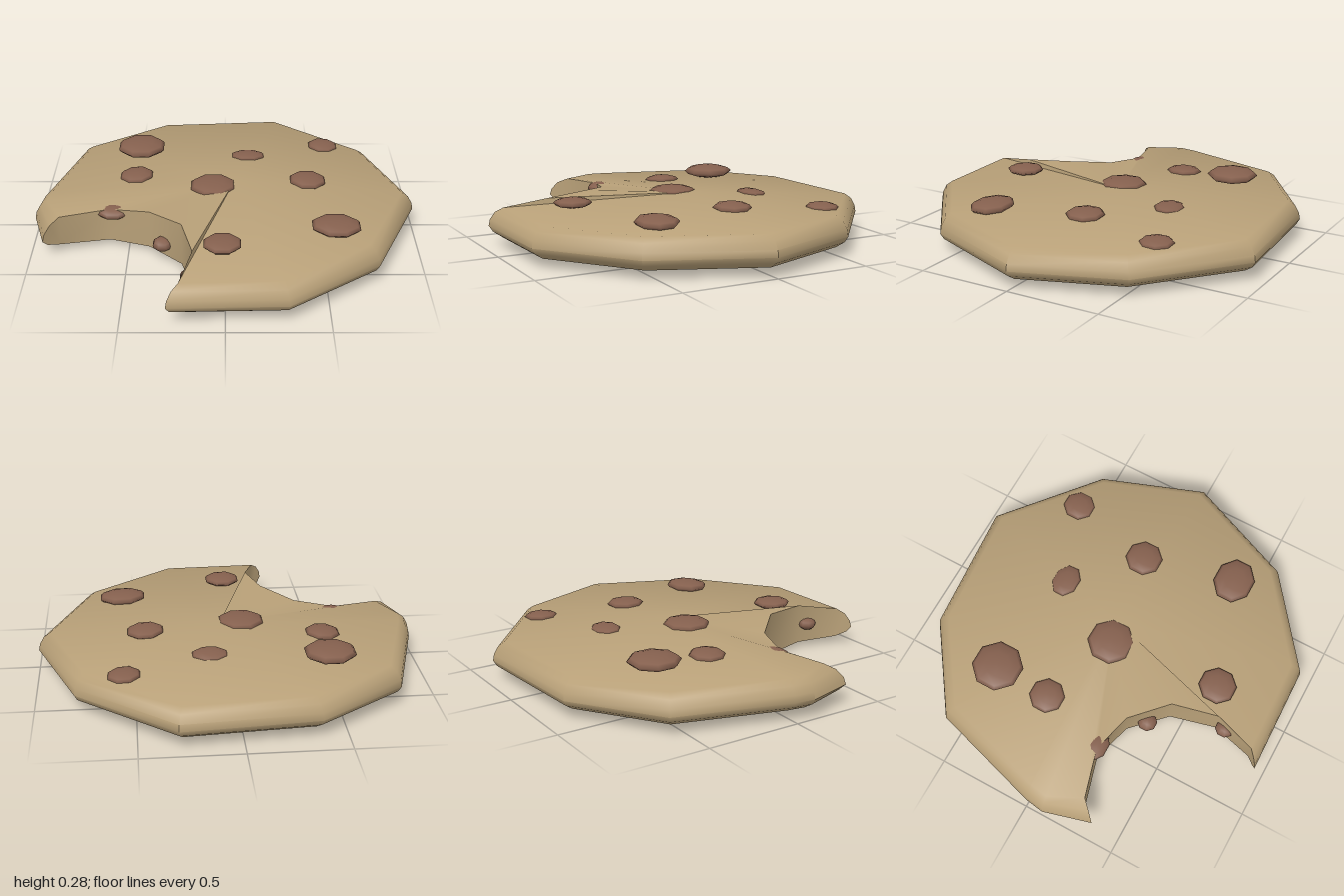
import * as THREE from 'three';
import { toCreasedNormals } from 'three/addons/utils/BufferGeometryUtils.js';

// Outer rim (x, z), from one bite corner round to the other
const RIM = [[-0.28, 0.95], [0.3, 0.935], [0.76, 0.58], [1, 0], [0.8, -0.54], [0.31, -0.95],
  [-0.37, -0.9], [-0.81, -0.59], [-0.985, 0], [-1, 0.1], [-0.93, 0.35]];
// Bite edge (x, z, top height, bottom height)
const BITE = [[-0.85, 0.27, 0.2, 0.04], [-0.6, 0.2, 0.207, 0.028], [-0.39, 0.26, 0.225, 0.02],
  [-0.22, 0.43, 0.25, 0.02], [-0.16, 0.67, 0.24, 0.028], [-0.22, 0.89, 0.2, 0.04]];
// Rounded rim section: inset fraction, height
const PROFILE = [[1, 0.04], [0.28, 0.07], [0, 0.1], [0.1, 0.135], [0.45, 0.175], [1, 0.2]];

function cookieGeometry() {
  const positions = [];
  const tri = (...corners) => corners.forEach((p) => positions.push(...p));
  const quad = (a, b, c, d) => { tri(a, b, c); tri(a, c, d); };
  const last = PROFILE.length - 1;

  // Rim sections; the two bite corners slide along the bite instead of inward
  const sections = RIM.map(([x, z], i) => {
    let inner = [x * 0.935, z * 0.935];
    if (i === 0) inner = BITE[BITE.length - 1];
    if (i === RIM.length - 1) inner = BITE[0];
    return PROFILE.map(([t, y]) => [x + (inner[0] - x) * t, y, z + (inner[1] - z) * t]);
  });
  for (let i = 0; i < sections.length - 1; i++) {
    const a = sections[i], b = sections[i + 1];
    for (let j = 0; j < last; j++) quad(a[j], b[j], b[j + 1], a[j + 1]);
  }

  // Caps where the bite cuts through the rim
  const first = sections[0], end = sections[sections.length - 1];
  for (let j = 1; j < last; j++) {
    tri(first[0], first[j], first[j + 1]);
    tri(end[0], end[j + 1], end[j]);
  }

  // Bite wall
  const biteTop = BITE.map(([x, z, y]) => [x, y, z]);
  const biteLow = BITE.map(([x, z, , y]) => [x, y, z]);
  for (let i = 0; i < BITE.length - 1; i++) {
    quad(biteLow[i], biteLow[i + 1], biteTop[i + 1], biteTop[i]);
  }

  // Gently domed top and bottom
  const top = [...sections.map((s) => s[last]), ...biteTop.slice(1, -1)];
  const low = [...sections.map((s) => s[0]), ...biteLow.slice(1, -1)];
  top.forEach((p, i) => {
    const n = (i + 1) % top.length;
    tri([0.05, 0.243, -0.05], p, top[n]);
    tri([0.05, 0, -0.05], low[n], low[i]);
  });

  const geometry = new THREE.BufferGeometry();
  geometry.setAttribute('position', new THREE.Float32BufferAttribute(positions, 3));
  return toCreasedNormals(geometry, 0.72);
}

// Chips: x, y, z, radius x, half height, radius z, tilt x, tilt z
const CHIPS = [
  [-0.47, 0.247, -0.46, 0.135, 0.035, 0.135, 0, 0],
  [-0.48, 0.218, -0.16, 0.092, 0.027, 0.094, 0, 0.05],
  [-0.065, 0.235, -0.01, 0.125, 0.03, 0.125, 0, 0],
  [0.125, 0.222, -0.39, 0.096, 0.022, 0.075, -0.08, 0],
  [0.555, 0.205, -0.55, 0.085, 0.024, 0.088, 0, -0.05],
  [0.44, 0.228, -0.085, 0.1, 0.027, 0.1, 0, -0.04],
  [0.555, 0.226, 0.4, 0.13, 0.03, 0.108, 0.03, -0.03],
  [-0.015, 0.235, 0.59, 0.098, 0.025, 0.1, 0, 0],
  [-0.58, 0.187, 0.19, 0.086, 0.027, 0.06, 0.12, 0],
  [-0.32, 0.087, 0.345, 0.053, 0.036, 0.053, 0, 0],
  [-0.175, 0.13, 0.72, 0.045, 0.032, 0.05, 0, 0],
];

export function createModel() {
  const group = new THREE.Group();
  group.name = 'cookie';

  const dough = new THREE.Mesh(cookieGeometry(), new THREE.MeshStandardMaterial({ color: 0xb8a078 }));
  dough.name = 'bittenDough';
  group.add(dough);

  // Flattened chocolate chips, partly sunk into the dough
  const chipMaterial = new THREE.MeshStandardMaterial({ color: 0x85604e });
  const chipGeometry = new THREE.SphereGeometry(1, 8, 6);
  chipGeometry.rotateY(Math.PI / 8);
  const chips = new THREE.Group();
  chips.name = 'chocolateChips';
  CHIPS.forEach(([x, y, z, rx, h, rz, tiltX, tiltZ], i) => {
    const chip = new THREE.Mesh(chipGeometry, chipMaterial);
    chip.name = `chip${i + 1}`;
    chip.position.set(x, y, z);
    chip.scale.set(rx, h, rz);
    chip.rotation.set(tiltX, 0, tiltZ);
    chips.add(chip);
  });
  group.add(chips);
  return group;
}
